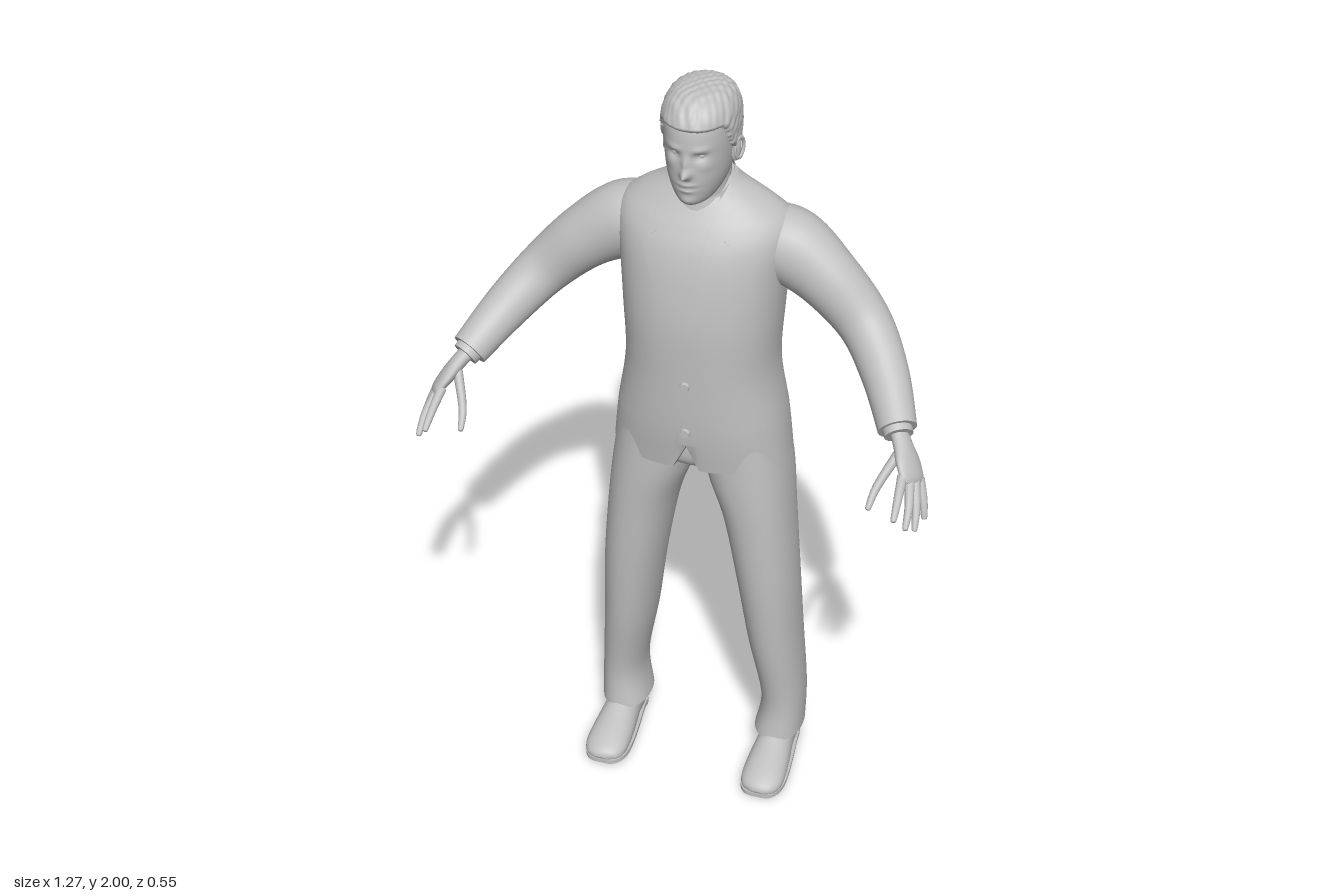
import * as THREE from 'three';

const grey = new THREE.MeshStandardMaterial({ color: 0xc0c0c0, side: THREE.DoubleSide });
grey.name = 'plain grey';
const V = (x, y, z) => new THREE.Vector3(x, y, z);
const clamp = THREE.MathUtils.clamp;

function add(parent, name, geometry) {
  const mesh = new THREE.Mesh(geometry, grey);
  mesh.name = name;
  parent.add(mesh);
  return mesh;
}

// Catmull-Rom smoothing of every column in a short table of rows
function smooth(rows, steps) {
  const out = [], last = rows.length - 1;
  for (let k = 0; k <= last * steps; k++) {
    const i = Math.min(Math.floor(k / steps), last - 1), t = k / steps - i;
    const [a, b, c, d] = [i - 1, i, i + 1, i + 2].map(n => rows[clamp(n, 0, last)]);
    out.push(b.map((p, j) => p + 0.5 * t * (c[j] - a[j] + t * (2 * a[j] - 5 * p + 4 * c[j] - d[j]
      + t * (3 * (p - c[j]) + d[j] - a[j])))));
  }
  return out;
}

// Skin over rings of points, with sharp-edged end caps
function loft(rings, caps = true) {
  const pos = [], idx = [], n = rings[0].length;
  rings.forEach(r => r.forEach(p => pos.push(p.x, p.y, p.z)));
  for (let i = 0; i < rings.length - 1; i++) for (let j = 0; j < n; j++) {
    const a = i * n + j, b = i * n + (j + 1) % n;
    idx.push(a, a + n, b, b, a + n, b + n);
  }
  if (caps) [rings[0], rings[rings.length - 1]].forEach((ring, end) => {
    const base = pos.length / 3, mid = V(0, 0, 0);
    ring.forEach(p => { pos.push(p.x, p.y, p.z); mid.addScaledVector(p, 1 / n); });
    pos.push(mid.x, mid.y, mid.z);
    for (let j = 0; j < n; j++) {
      const a = base + j, b = base + (j + 1) % n;
      idx.push(base + n, ...(end ? [b, a] : [a, b]));
    }
  });
  const g = new THREE.BufferGeometry();
  g.setAttribute('position', new THREE.Float32BufferAttribute(pos, 3));
  g.setIndex(idx);
  g.computeVertexNormals();
  return g;
}

// Upright form; rows are [y, centre x, centre z, half width, front z, back z, squareness]
function upright(rows, cols, bend = p => p) {
  const pw = (v, e) => Math.sign(v) * Math.abs(v) ** (2 / e);
  return rows.map(([y, cx, cz, rx, f, b, e]) => Array.from({ length: cols }, (_, j) => {
    const t = j / cols * Math.PI * 2, s = Math.sin(t);
    return bend(V(cx + rx * pw(Math.cos(t), e), y, cz + (s > 0 ? f - cz : cz - b) * pw(s, e)));
  }));
}

// Limb along a path; points are [x, y, z, radius along ref, radius across]
function limb(points, ref, cols = 20, steps = 6) {
  const rows = smooth(points, steps), at = i => V(...rows[clamp(i, 0, rows.length - 1)].slice(0, 3));
  return rows.map((r, i) => {
    const t = at(i + 1).sub(at(i - 1)).normalize();
    const u = ref.clone().addScaledVector(t, -ref.dot(t)).normalize(), v = u.clone().cross(t);
    return Array.from({ length: cols }, (_, j) => {
      const a = j / cols * Math.PI * 2;
      return at(i).addScaledVector(u, r[3] * Math.cos(a)).addScaledVector(v, r[4] * Math.sin(a));
    });
  });
}

const torsoRows = smooth([
  [0.985, 0, -0.12, 0.224, 0.03, -0.268, 2.4], [1.1, 0, -0.12, 0.212, 0.045, -0.27, 2.3],
  [1.25, 0, -0.12, 0.19, 0.05, -0.25, 2.3], [1.4, 0, -0.125, 0.196, 0.05, -0.258, 2.3],
  [1.52, 0, -0.13, 0.205, 0.035, -0.262, 2.3], [1.6, 0, -0.135, 0.215, 0.015, -0.252, 2.2],
  [1.65, 0, -0.14, 0.208, -0.01, -0.24, 2.1], [1.69, 0, -0.14, 0.165, -0.035, -0.215, 2],
  [1.73, 0, -0.135, 0.1, -0.06, -0.195, 2], [1.755, 0, -0.13, 0.075, -0.075, -0.18, 2]], 8);

// Depth of the jacket front at a given spot
function frontZ(x, y) {
  let i = torsoRows.findIndex(r => r[0] >= y);
  i = i < 0 ? torsoRows.length - 1 : Math.max(i, 1);
  const a = torsoRows[i - 1], b = torsoRows[i], t = clamp((y - a[0]) / (b[0] - a[0]), 0, 1);
  const [, , cz, rx, f, , e] = a.map((p, k) => p + (b[k] - p) * t);
  return cz + (f - cz) * Math.max(0, 1 - Math.abs(x / rx) ** e) ** (1 / e);
}

// Thin cloth piece between two edges, laid on the jacket front
function patch(edgeA, edgeB, lift, s = 1) {
  const [A, B] = [edgeA, edgeB].map(e => new THREE.SplineCurve(e.map(p => new THREE.Vector2(s * p[0], p[1]))));
  const g = new THREE.PlaneGeometry(1, 1, 8, 20), p = g.attributes.position;
  for (let i = 0; i < p.count; i++) {
    const q = A.getPoint(p.getY(i) + 0.5).lerp(B.getPoint(p.getY(i) + 0.5), p.getX(i) + 0.5);
    p.setXYZ(i, q.x, q.y, frontZ(q.x, q.y) + lift);
  }
  g.computeVertexNormals();
  return g;
}

function buildHead(parent) {
  const rows = smooth([
    [1.725, 0, -0.05, 0.02, -0.005, -0.085, 2], [1.735, 0, -0.06, 0.042, 0.012, -0.1, 2],
    [1.76, 0, -0.08, 0.06, 0.021, -0.14, 2.1], [1.8, 0, -0.09, 0.073, 0.026, -0.172, 2.2],
    [1.85, 0, -0.095, 0.08, 0.027, -0.195, 2.2], [1.9, 0, -0.095, 0.082, 0.028, -0.198, 2.2],
    [1.94, 0, -0.095, 0.08, 0.019, -0.194, 2.2], [1.97, 0, -0.095, 0.066, -0.003, -0.178, 2.1],
    [1.986, 0, -0.09, 0.042, -0.033, -0.145, 2], [1.99, 0, -0.09, 0.008, -0.08, -0.1, 2]], 8);
  // Face relief: [x, y, spread x, spread y, height]
  const relief = [[0, 1.822, 0.011, 0.011, 0.028], [0, 1.847, 0.009, 0.02, 0.012], [0.032, 1.884, 0.018, 0.007, 0.006],
    [0.031, 1.866, 0.014, 0.01, -0.011], [0, 1.79, 0.018, 0.005, 0.007], [0, 1.776, 0.016, 0.005, 0.006],
    [0, 1.783, 0.024, 0.003, -0.005], [0, 1.745, 0.02, 0.012, 0.005], [0.045, 1.84, 0.015, 0.012, 0.003]];
  add(parent, 'face', loft(upright(rows, 100, p => {
    if (p.z > -0.05) for (const [x, y, sx, sy, h] of relief)
      p.z += h * Math.exp(-(((Math.abs(p.x) - x) / sx) ** 2) - ((p.y - y) / sy) ** 2);
    return p;
  })));
  // Hair follows the skull and dips under the skin below the hairline
  const mid = V(0, 1.88, -0.09);
  add(parent, 'hair', loft(upright(rows, 100, p => {
    const line = 1.775 + 0.085 * clamp((p.z + 0.2) / 0.13, 0, 1) + 0.068 * THREE.MathUtils.smoothstep(p.z, -0.07, -0.02);
    const rough = 0.0022 * Math.sin(p.x * 260 + p.y * 90) * Math.sin(p.z * 230 + p.y * 170);
    return p.addScaledVector(p.clone().sub(mid).normalize(), p.y > line ? 0.008 + rough : -0.012);
  })));
  add(parent, 'neck', loft(upright(smooth([[1.6, 0, -0.11, 0.07, -0.045, -0.175, 2],
    [1.72, 0, -0.11, 0.065, -0.04, -0.177, 2], [1.84, 0, -0.11, 0.064, -0.03, -0.18, 2]], 5), 32)));
  for (const s of [1, -1]) {
    add(parent, 'eye', new THREE.SphereGeometry(0.011, 16, 12)).position.set(s * 0.03, 1.866, 0.002);
    const ear = add(parent, 'ear', new THREE.SphereGeometry(1, 16, 12));
    ear.scale.set(0.009, 0.031, 0.018);
    ear.position.set(s * 0.083, 1.84, -0.092);
    ear.rotation.set(-0.2, s * -0.3, 0);
    const lobe = add(parent, 'earRim', new THREE.TorusGeometry(0.018, 0.004, 8, 20));
    lobe.scale.y = 1.45;
    lobe.position.set(s * 0.09, 1.842, -0.094);
    lobe.rotation.set(0, s * (Math.PI / 2 - 0.3), 0);
  }
}

function buildJacket(parent) {
  // Body with an open front corner at the hem and a split vent behind
  add(parent, 'jacketBody', loft(upright(torsoRows, 120, p => {
    const low = clamp((1.17 - p.y) / 0.12, 0, 1);
    if (p.z < -0.2) p.z += 0.022 * low * Math.exp(-((p.x / 0.008) ** 2)) + 0.008 * Math.exp(-((p.x / 0.03) ** 2)) * (1 - low);
    if (p.z > 0 && p.y < 1.1) p.y += 0.07 * clamp(1 - Math.abs(p.x) / 0.035, 0, 1) * (1.1 - p.y) / 0.115;
    return p;
  })));
  add(parent, 'shirtFront', patch([[-0.002, 1.41], [-0.03, 1.56], [-0.056, 1.725]], [[0.002, 1.41], [0.03, 1.56], [0.056, 1.725]], 0.003));
  add(parent, 'tie', patch([[-0.004, 1.42], [-0.022, 1.52], [-0.011, 1.65]], [[0.004, 1.42], [0.022, 1.52], [0.011, 1.65]], 0.007));
  add(parent, 'tieKnot', patch([[-0.01, 1.645], [-0.016, 1.67], [-0.02, 1.695]], [[0.01, 1.645], [0.016, 1.67], [0.02, 1.695]], 0.011));
  add(parent, 'frontOverlap', patch([[-0.012, 1.07], [-0.008, 1.25], [-0.004, 1.41]], [[0.05, 1.07], [0.05, 1.25], [0.02, 1.41]], 0.004));
  for (const y of [1.25, 1.11]) {
    const button = add(parent, 'button', new THREE.CylinderGeometry(0.011, 0.013, 0.009, 16));
    button.rotation.x = Math.PI / 2;
    button.position.set(0.005, y, frontZ(0, y) + 0.007);
  }
  // Shirt collar and jacket collar, lower at the front
  const band = (name, rx, f, b, y0, y1, tilt) => add(parent, name, loft(upright(
    [[y0, 0, -0.115, rx + 0.012, f + 0.012, b - 0.012, 2], [y1, 0, -0.115, rx, f, b, 2]], 40,
    p => V(p.x, p.y - (p.z + 0.115) * tilt, p.z)), false));
  band('shirtCollar', 0.07, -0.034, -0.182, 1.7, 1.752, 0.4);
  band('jacketCollar', 0.077, -0.038, -0.188, 1.7, 1.74, 0.4);
  for (const s of [1, -1]) {
    add(parent, 'lapel', patch([[0, 1.39], [0.015, 1.48], [0.035, 1.58], [0.055, 1.7]],
      [[0.012, 1.4], [0.06, 1.49], [0.112, 1.6], [0.08, 1.64]], 0.008, s));
    add(parent, 'collarLapel', patch([[0.05, 1.645], [0.056, 1.69], [0.064, 1.73]], [[0.105, 1.645], [0.1, 1.68], [0.082, 1.73]], 0.009, s));
    add(parent, 'collarPoint', patch([[0.022, 1.665], [0.012, 1.69], [0.01, 1.71]], [[0.04, 1.655], [0.05, 1.69], [0.056, 1.725]], 0.009, s));
    add(parent, 'pocketFlap', patch([[0.1, 1.1], [0.1, 1.12], [0.1, 1.14]], [[0.185, 1.105], [0.185, 1.125], [0.185, 1.145]], 0.008, s));
  }
}

function buildArm(parent, s) {
  const tube = (name, pts, ref, cols, steps) =>
    add(parent, name, loft(limb(pts.map(([x, ...r]) => [s * x, ...r]), V(s * ref[0], ref[1], ref[2]), cols, steps)));
  tube('sleeve', [[0.11, 1.575, -0.14, 0.085, 0.085], [0.2, 1.568, -0.145, 0.09, 0.096], [0.3, 1.51, -0.127, 0.073, 0.08],
    [0.4, 1.415, -0.105, 0.063, 0.067], [0.475, 1.335, -0.025, 0.055, 0.058], [0.535, 1.262, 0.08, 0.046, 0.047]], [0, 0, 1], 32, 8);
  tube('shirtCuff', [[0.52, 1.28, 0.055, 0.038, 0.038], [0.542, 1.254, 0.092, 0.036, 0.034]], [0, 0, 1], 24, 2);
  const across = [-0.03, 0.03, 0.06];
  tube('palm', [[0.53, 1.267, 0.07, 0.024, 0.02], [0.556, 1.238, 0.105, 0.03, 0.019], [0.575, 1.212, 0.13, 0.042, 0.018],
    [0.592, 1.188, 0.154, 0.042, 0.014], [0.599, 1.178, 0.163, 0.03, 0.007]], across, 20, 5);
  const digits = [['thumb', [0.55, 1.225, 0.125], [0.517, 1.165, 0.185], [0.508, 1.13, 0.225]],
    ['indexFinger', [0.574, 1.2, 0.175], [0.578, 1.172, 0.23], [0.58, 1.145, 0.272]],
    ['middleFinger', [0.588, 1.188, 0.162], [0.602, 1.15, 0.215], [0.605, 1.115, 0.255]],
    ['ringFinger', [0.598, 1.178, 0.148], [0.614, 1.13, 0.19], [0.62, 1.092, 0.222]],
    ['littleFinger', [0.605, 1.17, 0.13], [0.622, 1.125, 0.152], [0.63, 1.088, 0.168]]];
  for (const [name, a, b, c] of digits) {
    const tip = c.map((v, i) => v + (c[i] - b[i]) * 0.08);
    tube(name, [[...a, 0.013, 0.012], [...b, 0.0105, 0.01], [...c, 0.007, 0.007], [...tip, 0.002, 0.002]], across, 12, 4);
  }
}

function buildLeg(parent, s) {
  const rows = [[0.085, 0.213, -0.13, 0.063, -0.042, -0.215, 2.3], [0.2, 0.22, -0.135, 0.056, -0.05, -0.226, 2.2],
    [0.4, 0.197, -0.125, 0.068, -0.02, -0.229, 2.1], [0.6, 0.178, -0.11, 0.078, 0, -0.22, 2.1],
    [0.8, 0.152, -0.11, 0.088, 0.01, -0.235, 2.2], [0.93, 0.124, -0.12, 0.103, 0.015, -0.256, 2.3],
    [1.05, 0.105, -0.12, 0.103, 0.015, -0.25, 2.3]];
  add(parent, 'trouserLeg', loft(upright(smooth(rows.map(([y, x, ...r]) => [y, s * x, ...r]), 8), 40)));
  // Shoe: rounded upper flattened onto its sole
  const upper = limb([[0.215, 0.05, -0.208, 0.025, 0.022], [0.215, 0.05, -0.175, 0.05, 0.043], [0.215, 0.05, -0.1, 0.058, 0.045],
    [0.216, 0.037, -0.02, 0.046, 0.054], [0.217, 0.026, 0.05, 0.034, 0.056], [0.218, 0.022, 0.085, 0.022, 0.042],
    [0.218, 0.018, 0.098, 0.008, 0.016]].map(([x, ...r]) => [s * x, ...r]), V(0, 1, 0), 28, 6);
  upper.flat().forEach(p => { p.y = Math.max(p.y, 0.01); });
  add(parent, 'shoeUpper', loft(upper));
  const outline = new THREE.Shape(new THREE.SplineCurve([[-0.03, -0.2], [0.03, -0.2], [0.045, -0.13], [0.06, 0.03], [0.04, 0.09],
    [0, 0.1], [-0.04, 0.09], [-0.058, 0.03], [-0.045, -0.13], [-0.03, -0.2]].map(p => new THREE.Vector2(...p))).getPoints(50));
  const sole = add(parent, 'sole', new THREE.ExtrudeGeometry(outline, { depth: 0.012, bevelEnabled: false }));
  sole.rotation.x = Math.PI / 2;
  sole.position.set(s * 0.216, 0.018, 0);
  const heel = add(parent, 'heel', new THREE.CylinderGeometry(0.042, 0.042, 0.018, 24));
  heel.position.set(s * 0.215, 0.009, -0.165);
  const ball = add(parent, 'soleTread', new THREE.CylinderGeometry(0.054, 0.05, 0.012, 24));
  ball.position.set(s * 0.217, 0.006, 0.025);
  ball.scale.z = 1.25;
}

export function createModel() {
  const man = new THREE.Group();
  man.name = 'manInSuit';
  const part = (name, build, ...args) => {
    const g = new THREE.Group();
    g.name = name;
    man.add(g);
    build(g, ...args);
  };
  part('head', buildHead);
  part('jacket', buildJacket);
  part('leftArm', buildArm, 1);
  part('rightArm', buildArm, -1);
  part('leftLeg', buildLeg, 1);
  part('rightLeg', buildLeg, -1);
  // Seat of the trousers joining both legs
  add(man, 'trouserSeat', loft(upright(smooth([[0.95, 0, -0.12, 0.06, -0.04, -0.2, 2],
    [0.99, 0, -0.12, 0.15, 0.01, -0.25, 2.2], [1.05, 0, -0.12, 0.2, 0.015, -0.25, 2.3]], 5), 40)));
  return man;
}
